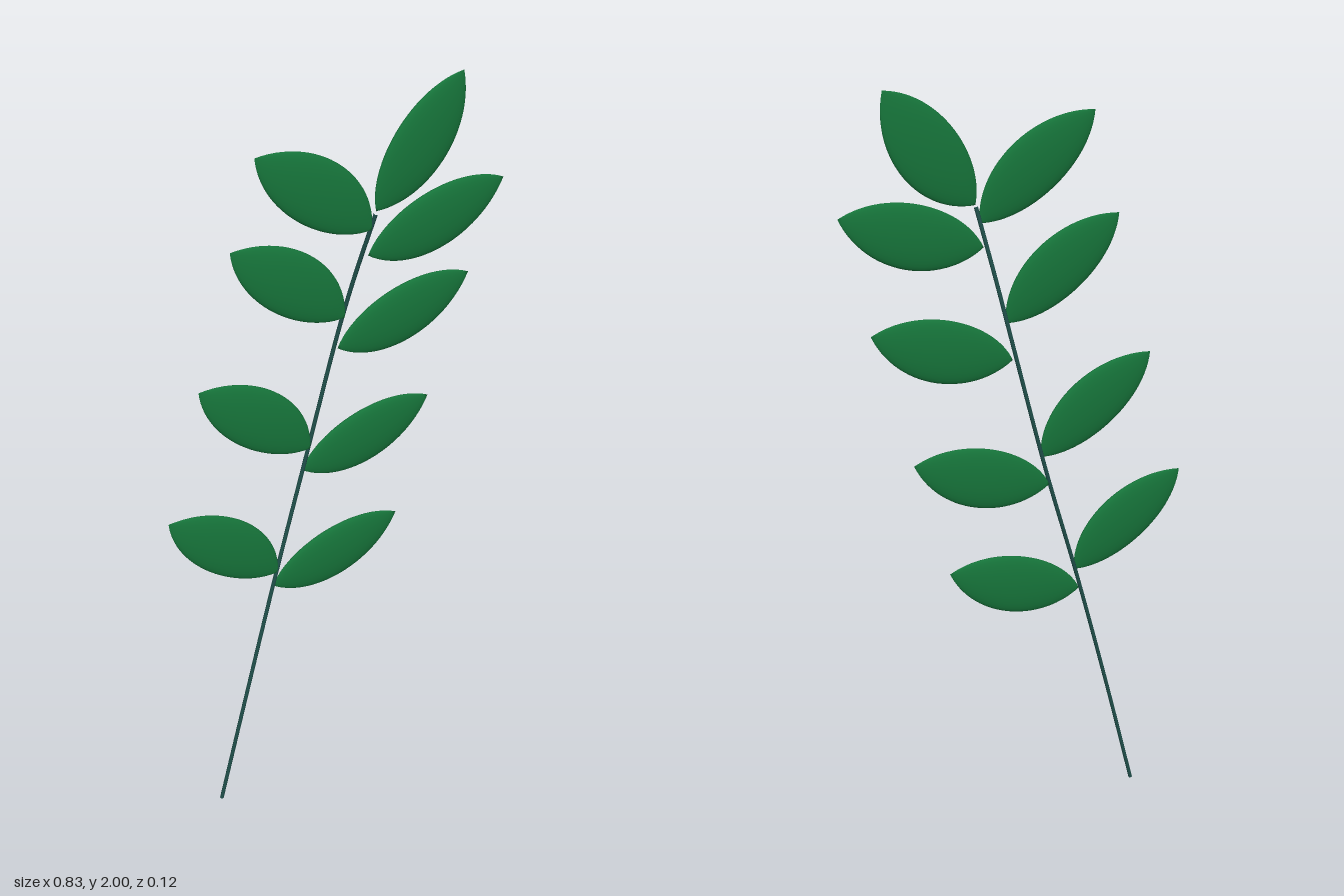
import * as THREE from 'three';
import { mergeVertices } from 'three/addons/utils/BufferGeometryUtils.js';

const v3 = (x, y, z = 0) => new THREE.Vector3(x, y, z);

// One lens-shaped leaf: base at the origin, tip along +y, fuller on its +x side
function leafGeometry() {
  const length = 0.365, maxWidth = 0.153, thickness = 0.03;
  const leftEdge = new THREE.CubicBezierCurve3(
    v3(0, 0), v3(-0.085, 0.075), v3(-0.1, 0.27), v3(0, length));
  const rightEdge = new THREE.CubicBezierCurve3(
    v3(0, 0), v3(0.11, 0.075), v3(0.118, 0.26), v3(0, length));

  // A sphere whose rings are stretched between the two edge curves
  const geo = new THREE.SphereGeometry(1, 32, 28);
  const { position, uv } = geo.attributes;
  for (let i = 0; i < position.count; i++) {
    const t = THREE.MathUtils.clamp(uv.getY(i), 0, 1);
    const phi = uv.getX(i) * Math.PI * 2;
    const a = leftEdge.getPoint(t), b = rightEdge.getPoint(t);
    const fullness = a.distanceTo(b) / maxWidth;
    const p = a.lerp(b, (1 - Math.cos(phi)) / 2);
    position.setXYZ(i, p.x, p.y, Math.sin(phi) * fullness * thickness / 2);
  }
  geo.deleteAttribute('uv');
  geo.deleteAttribute('normal');
  const smooth = mergeVertices(geo, 1e-5);
  smooth.computeVertexNormals();
  return smooth;
}

export function createModel() {
  const model = new THREE.Group();
  model.name = 'leafySprig';
  const stemMaterial = new THREE.MeshStandardMaterial({ color: 0x1f4f4a });
  const leafMaterial = new THREE.MeshStandardMaterial({ color: 0x16743a });

  // Thin stem, leaning right and bending forward near the top
  const stemPath = new THREE.CatmullRomCurve3([
    v3(-0.318, 0, -0.035), v3(-0.24, 0.33, -0.03), v3(-0.15, 0.68, -0.033),
    v3(-0.055, 1.02, -0.04), v3(0.025, 1.365, -0.024),
    v3(0.055, 1.52, 0), v3(0.088, 1.695, 0.038),
  ]);
  const stem = new THREE.Mesh(new THREE.TubeGeometry(stemPath, 60, 0.005, 8), stemMaterial);
  stem.name = 'stem';
  model.add(stem);

  const geometry = leafGeometry();
  function addLeaf(name, base, offset) {
    const up = offset.clone().normalize();
    const side = up.clone().cross(v3(0, 0, 1)).normalize();
    const face = side.clone().cross(up);
    const leaf = new THREE.Mesh(geometry, leafMaterial);
    leaf.name = name;
    leaf.quaternion.setFromRotationMatrix(new THREE.Matrix4().makeBasis(side, up, face));
    leaf.position.copy(base);
    model.add(leaf);
  }

  // Four staggered pairs of side leaves: base of each leaf
  const pairs = [
    [v3(-0.14, 0.71, -0.03), v3(-0.148, 0.66, -0.043)],
    [v3(-0.045, 1.055, -0.033), v3(-0.06, 0.985, -0.05)],
    [v3(0.035, 1.415, -0.008), v3(0.025, 1.325, -0.024)],
    [v3(0.08, 1.655, 0.035), v3(0.07, 1.593, 0.037)],
  ];
  pairs.forEach(([rightBase, leftBase], i) => {
    addLeaf(`rightLeaf${i + 1}`, rightBase, v3(-0.28, 0.237, -0.019));
    addLeaf(`leftLeaf${i + 1}`, leftBase, v3(0.345, 0.121, 0.013));
  });

  // Leaf at the end of the stem
  addLeaf('topLeaf', v3(0.09, 1.7, 0.036), v3(0.213, 0.295, 0.003));

  return model;
}
